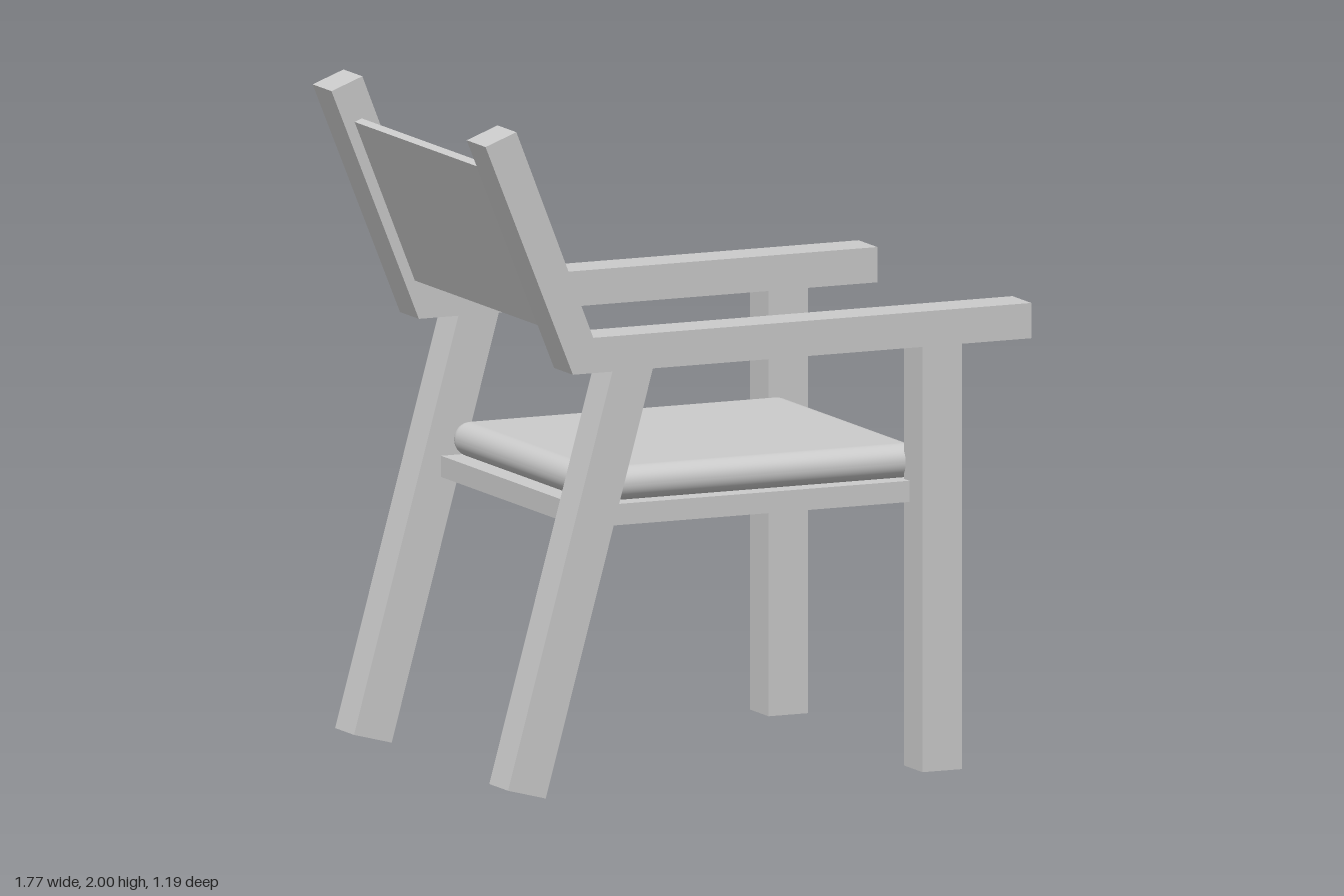
import * as THREE from 'three';
import { RoundedBoxGeometry } from 'three/addons/geometries/RoundedBoxGeometry.js';

const material = new THREE.MeshStandardMaterial({ color: 0xcccccc });

// Extrude an x-y outline between two z values.
function slab(name, points, z0, z1) {
  const shape = new THREE.Shape(points.map(([x, y]) => new THREE.Vector2(x, y)));
  const geometry = new THREE.ExtrudeGeometry(shape, { depth: z1 - z0, bevelEnabled: false });
  geometry.translate(0, 0, z0);
  const mesh = new THREE.Mesh(geometry, material);
  mesh.name = name;
  return mesh;
}

// Side frame outlines
const frontLeg = [[0.53, 0], [0.657, 0], [0.657, 1.265], [0.53, 1.265]];
const rearLeg = [[-0.812, 0.043], [-0.69, 0.011], [-0.343, 1.265], [-0.474, 1.265]];
const armAndBackPost = [
  [-0.602, 1.265], [0.882, 1.265], [0.882, 1.37], [-0.536, 1.37],
  [-0.785, 2.0], [-0.885, 1.963],
];

export function createModel() {
  const chair = new THREE.Group();
  chair.name = 'armchair';
  const inner = 0.467, outer = 0.597;

  // Two matching side frames: legs, arm and leaning back post
  for (const [side, z0, z1] of [['near', inner, outer], ['far', -outer, -inner]]) {
    const frame = new THREE.Group();
    frame.name = side + 'SideFrame';
    frame.add(
      slab('frontLeg', frontLeg, z0, z1),
      slab('rearLeg', rearLeg, z0, z1),
      slab('armAndBackPost', armAndBackPost, z0, z1),
    );
    chair.add(frame);
  }

  // Thin leaning back panel held between the posts
  chair.add(slab('backPanel',
    [[-0.615, 1.38], [-0.592, 1.39], [-0.787, 1.875], [-0.81, 1.866]], -inner, inner));

  // Seat board, let into the legs
  const board = new THREE.Mesh(new THREE.BoxGeometry(1.15, 0.063, 1.01), material);
  board.name = 'seatBoard';
  board.position.set(0.045, 0.821, 0);
  chair.add(board);

  // Soft-edged cushion
  const cushion = new THREE.Mesh(new RoundedBoxGeometry(1.09, 0.102, 0.96, 6, 0.05), material);
  cushion.name = 'seatCushion';
  cushion.position.set(0.045, 0.902, 0);
  chair.add(cushion);

  return chair;
}
